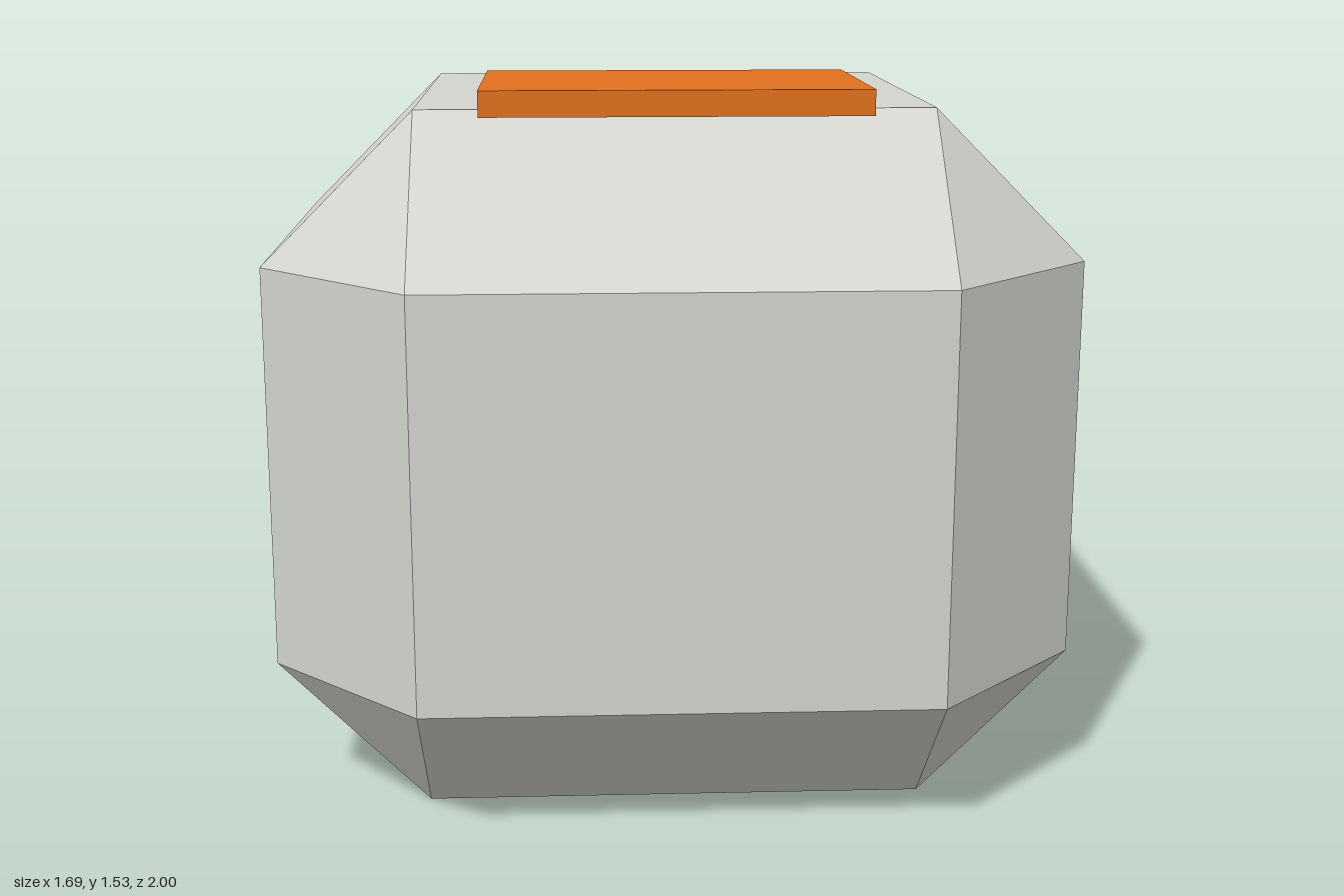
import * as THREE from 'three';
import { ConvexGeometry } from 'three/addons/geometries/ConvexGeometry.js';

const material = (color) => new THREE.MeshStandardMaterial({ color, flatShading: true });

function addPart(group, name, geometry, color, x, y, z) {
  const mesh = new THREE.Mesh(geometry, material(color));
  mesh.name = name;
  mesh.position.set(x, y, z);
  group.add(mesh);
}

// Box with every edge cut at 45 degrees: each corner becomes a triangle
function chamferedBox(width, height, depth, cut) {
  const [w, h, d] = [width / 2, height / 2, depth / 2];
  const points = [];
  for (const sx of [-1, 1]) for (const sy of [-1, 1]) for (const sz of [-1, 1]) {
    points.push(
      new THREE.Vector3(sx * w, sy * (h - cut), sz * (d - cut)),
      new THREE.Vector3(sx * (w - cut), sy * h, sz * (d - cut)),
      new THREE.Vector3(sx * (w - cut), sy * (h - cut), sz * d),
    );
  }
  return new ConvexGeometry(points);
}

// 14-sided drum lying along z, with a corner pointing straight up
const drum = (radius, length) =>
  new THREE.CylinderGeometry(radius, radius, length, 14).rotateX(-Math.PI / 2);

export function createModel() {
  const group = new THREE.Group();
  group.name = 'chamferedBodyWithLens';

  addPart(group, 'body', chamferedBox(1.69, 1.485, 1.586, 0.317), 0xd3d5ce, 0, 0.7425, 0.207);

  // Lens barrel on the back, with its glass standing slightly proud
  addPart(group, 'lensBarrel', drum(0.396, 0.374), 0x2a2a2d, 0, 0.745, -0.773);
  addPart(group, 'lensGlass', drum(0.317, 0.08), 0x111a26, 0, 0.745, -0.96);

  // Flat plate on top, overhanging the front chamfer
  addPart(group, 'topPlate', new THREE.BoxGeometry(0.792, 0.053, 0.528), 0xe0701e, 0, 1.5, 0.471);

  return group;
}
